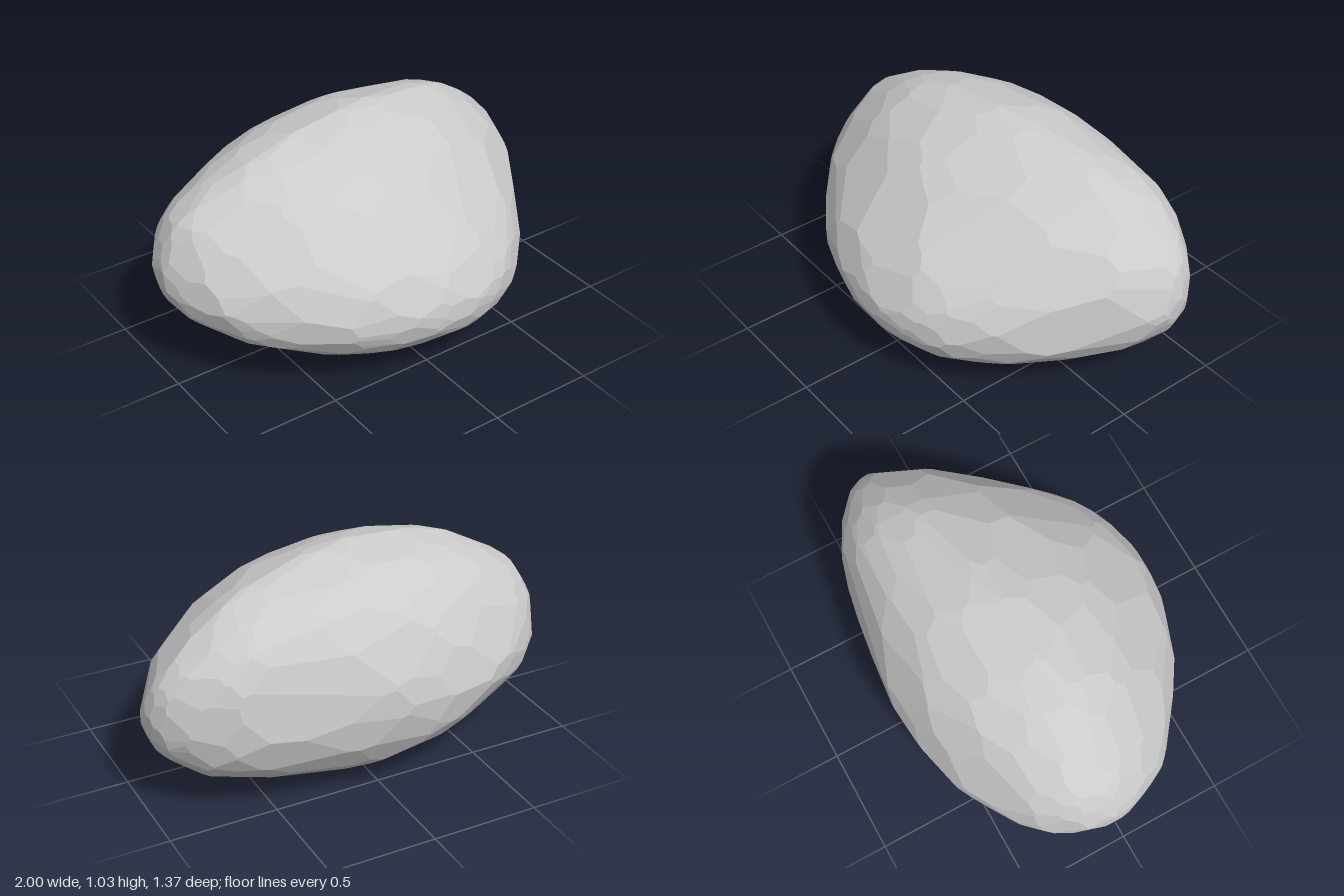
import * as THREE from 'three';
import { ConvexGeometry } from 'three/addons/geometries/ConvexGeometry.js';

// Outlines as [x, value] pairs
const BACK = [[-1, -0.08], [-0.98, -0.2], [-0.95, -0.27], [-0.86, -0.4], [-0.7, -0.52], [-0.5, -0.6], [-0.25, -0.68],
  [0, -0.68], [0.2, -0.67], [0.5, -0.61], [0.72, -0.56], [0.93, -0.42], [0.97, -0.36], [1, -0.23]];
const FRONT = [[-1, -0.08], [-0.98, 0.03], [-0.93, 0.13], [-0.83, 0.28], [-0.7, 0.39], [-0.5, 0.52], [-0.28, 0.63],
  [-0.05, 0.68], [0.1, 0.68], [0.25, 0.65], [0.38, 0.59], [0.58, 0.43], [0.72, 0.24], [0.88, -0.02], [0.95, -0.12], [1, -0.23]];
const TOP = [[-1, 0.52], [-0.98, 0.6], [-0.9, 0.75], [-0.8, 0.82], [-0.55, 0.95], [-0.3, 1.01], [0, 1.03],
  [0.25, 1.0], [0.5, 0.95], [0.62, 0.91], [0.88, 0.73], [0.97, 0.61], [1, 0.45]];
const BOTTOM = [[-1, 0.47], [-0.94, 0.33], [-0.76, 0.19], [-0.45, 0.07], [-0.23, 0.03], [0.12, 0],
  [0.5, 0.05], [0.76, 0.14], [0.93, 0.28], [0.98, 0.37], [1, 0.43]];

// Cross-section as [z, y] pairs, seen at the widest place
const SECTION = [[0.68, 0.33], [0.67, 0.42], [0.6, 0.55], [0.45, 0.69], [0.28, 0.85], [0.1, 0.95], [-0.05, 1.01],
  [-0.13, 1.03], [-0.33, 0.98], [-0.48, 0.89], [-0.58, 0.77], [-0.65, 0.6], [-0.68, 0.45], [-0.66, 0.29],
  [-0.58, 0.16], [-0.46, 0.07], [-0.4, 0.04], [-0.12, 0], [0.2, 0.03], [0.35, 0.07], [0.55, 0.15], [0.65, 0.25]];

function sample(table, x) {
  for (let i = 1; i < table.length; i++) {
    const [x0, a] = table[i - 1], [x1, b] = table[i];
    if (x <= x1) return THREE.MathUtils.lerp(a, b, (x - x0) / (x1 - x0));
  }
  return table[table.length - 1][1];
}

function seeded(seed) {
  return () => (seed = (seed * 16807) % 2147483647) / 2147483647;
}

// Points of the body: the section stretched to the outlines at each x, with
// the top ridge slightly diagonal and the underside easing forward
function bodyPoints(center) {
  const points = [];
  const steps = 48;
  for (let i = 0; i <= steps; i++) {
    const x = -Math.cos((i / steps) * Math.PI);
    const z0 = sample(BACK, x), z1 = sample(FRONT, x);
    const y0 = sample(BOTTOM, x), y1 = sample(TOP, x);
    const fade = 1 - x * x;
    for (const [z, y] of SECTION) {
      const v = y / 1.03;
      const high = Math.max(0, (v - 0.45) / 0.55);
      const low = Math.max(0, (0.33 - v) / 0.33);
      const shift = fade * (-0.17 * x * high + 0.1 * Math.abs(x) * low);
      const depth = THREE.MathUtils.lerp(z0, z1, (z + 0.68) / 1.36) + shift;
      points.push(new THREE.Vector3(
        x,
        THREE.MathUtils.lerp(y0, y1, v),
        THREE.MathUtils.clamp(depth, z0, z1)
      ).sub(center));
    }
  }
  return points;
}

// Corners where neighbouring cutting planes meet (polar dual of their hull)
function planeCorners(dualPoints) {
  const pos = new ConvexGeometry(dualPoints).getAttribute('position');
  const tri = new THREE.Triangle(), plane = new THREE.Plane();
  const corners = [];
  for (let i = 0; i < pos.count; i += 3) {
    tri.setFromAttributeAndIndices(pos, i, i + 1, i + 2);
    if (tri.getArea() < 1e-5) continue;
    tri.getPlane(plane);
    corners.push(plane.normal.clone().divideScalar(-plane.constant));
  }
  return corners;
}

// Chips the body into irregular flat facets; the planes are scattered
// as on an ellipsoid, so the broad sides get as many cuts as the ends
function stoneGeometry(facets) {
  const center = new THREE.Vector3(-0.02, 0.48, -0.1);
  const body = bodyPoints(center);
  const random = seeded(4711);
  const planes = [];
  for (let i = 0; i < facets; i++) {
    const y = 1 - (2 * (i + 0.2 + 0.6 * random())) / facets;
    const a = i * 2.39996 + (random() - 0.5) * 0.25;
    const r = Math.sqrt(1 - y * y);
    const n = new THREE.Vector3(r * Math.cos(a), y / 0.7, (r * Math.sin(a)) / 0.85).normalize();
    const reach = body.reduce((m, p) => Math.max(m, p.dot(n)), 0) - 0.003;
    planes.push(n.divideScalar(reach));
  }
  const geometry = new ConvexGeometry(planeCorners(planes));

  // Settle on the ground
  geometry.computeBoundingBox();
  const mid = geometry.boundingBox.getCenter(new THREE.Vector3());
  geometry.translate(-mid.x, -geometry.boundingBox.min.y, -mid.z);
  return geometry;
}

export function createModel() {
  const group = new THREE.Group();
  group.name = 'rock';
  const stone = new THREE.Mesh(
    stoneGeometry(300),
    new THREE.MeshStandardMaterial({ color: 0xcccccc, flatShading: true })
  );
  stone.name = 'stone';
  group.add(stone);
  return group;
}
